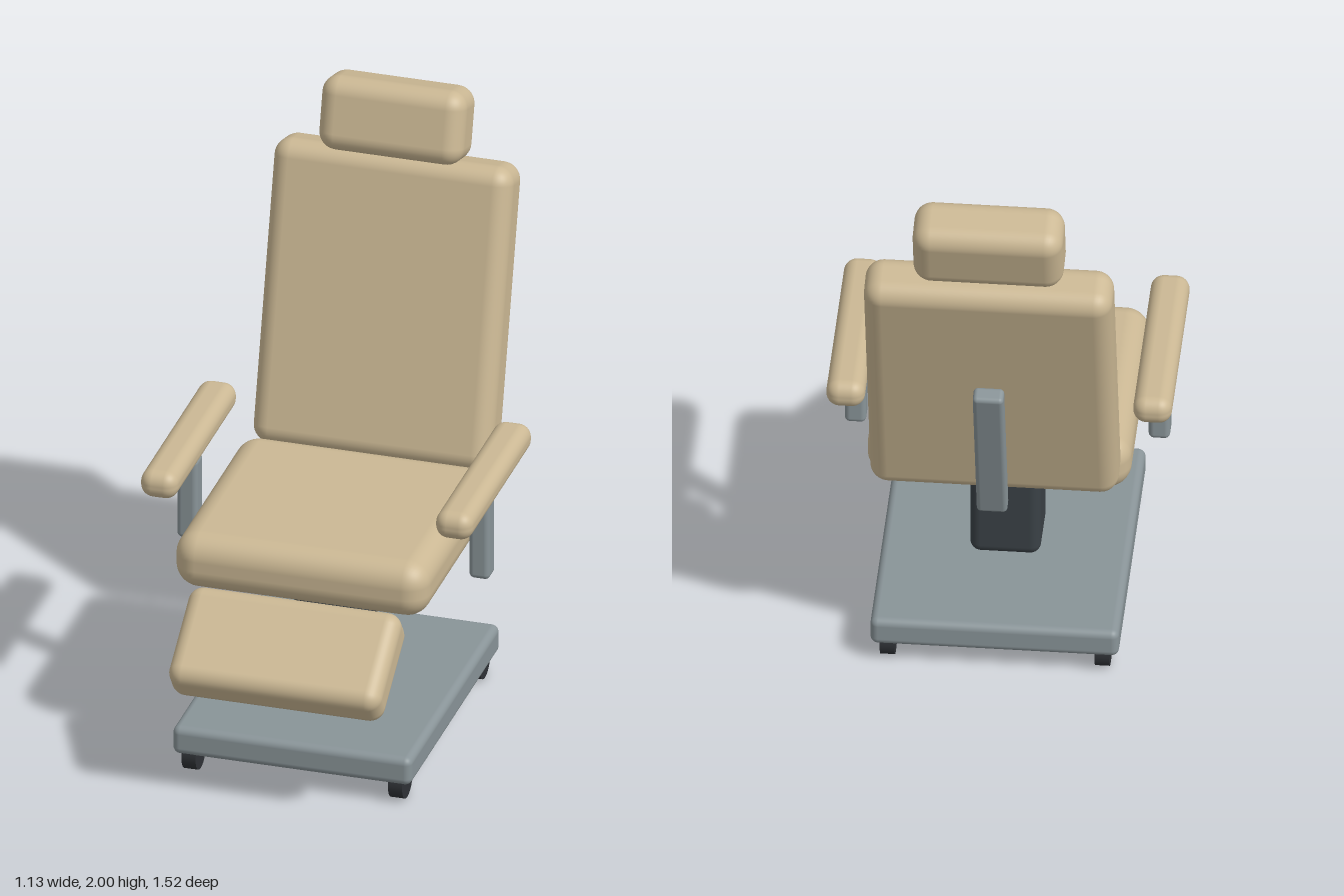
import * as THREE from 'three';
import { RoundedBoxGeometry } from 'three/addons/geometries/RoundedBoxGeometry.js';

const material = (color) => new THREE.MeshStandardMaterial({ color });

export function createModel() {
  const model = new THREE.Group();
  model.name = 'recliningChair';
  const leather = material(0xcbb894);
  const metal = material(0x899498);
  const dark = material(0x3a4146);
  const rubber = material(0x2f3236);
  const lean = -THREE.MathUtils.degToRad(15);

  // Rounded block with size, centre, edge radius and tilt about x
  function block(name, mat, [w, h, d], [x, y, z], radius, tilt = 0) {
    const mesh = new THREE.Mesh(new RoundedBoxGeometry(w, h, d, 5, radius), mat);
    mesh.name = name;
    mesh.position.set(x, y, z);
    mesh.rotation.x = tilt;
    model.add(mesh);
    return mesh;
  }

  // Base plate and lifting column
  block('basePlate', metal, [0.81, 0.1, 1.01], [0, 0.12, 0.035], 0.025);
  block('column', dark, [0.23, 0.43, 0.23], [0, 0.382, 0.035], 0.035);

  // Cushions
  block('seat', leather, [0.86, 0.195, 0.81], [0, 0.728, 0.065], 0.08);
  block('backrest', leather, [0.81, 1.02, 0.18], [0, 1.25, -0.538], 0.06, lean);
  block('headrest', leather, [0.49, 0.25, 0.19], [0, 1.87, -0.65], 0.06, lean);
  block('legRest', leather, [0.72, 0.15, 0.36], [0, 0.523, 0.588], 0.05, THREE.MathUtils.degToRad(35));

  // Brace behind the backrest and stem under the headrest
  block('backBrace', metal, [0.1, 0.594, 0.06], [0, 0.995, -0.602], 0.015, lean);
  const stem = new THREE.Mesh(new THREE.CylinderGeometry(0.035, 0.035, 0.16, 20), metal);
  stem.name = 'headrestStem';
  stem.position.set(0, 1.74, -0.637);
  stem.rotation.x = lean;
  model.add(stem);

  // Armrests with their posts, and casters, on both sides
  const wheel = new THREE.CylinderGeometry(0.06, 0.06, 0.048, 24).rotateZ(Math.PI / 2);
  for (const [side, s] of [['left', 1], ['right', -1]]) {
    block(side + 'Armrest', leather, [0.126, 0.096, 0.72], [s * 0.5, 0.957, 0.035], 0.043);
    block(side + 'ArmrestPost', metal, [0.07, 0.29, 0.075], [s * 0.495, 0.757, 0.037], 0.018);
    for (const [end, z] of [['Front', 0.473], ['Rear', -0.4]]) {
      const caster = new THREE.Mesh(wheel, rubber);
      caster.name = side + end + 'Caster';
      caster.position.set(s * 0.35, 0.06, z);
      model.add(caster);
    }
  }
  return model;
}
